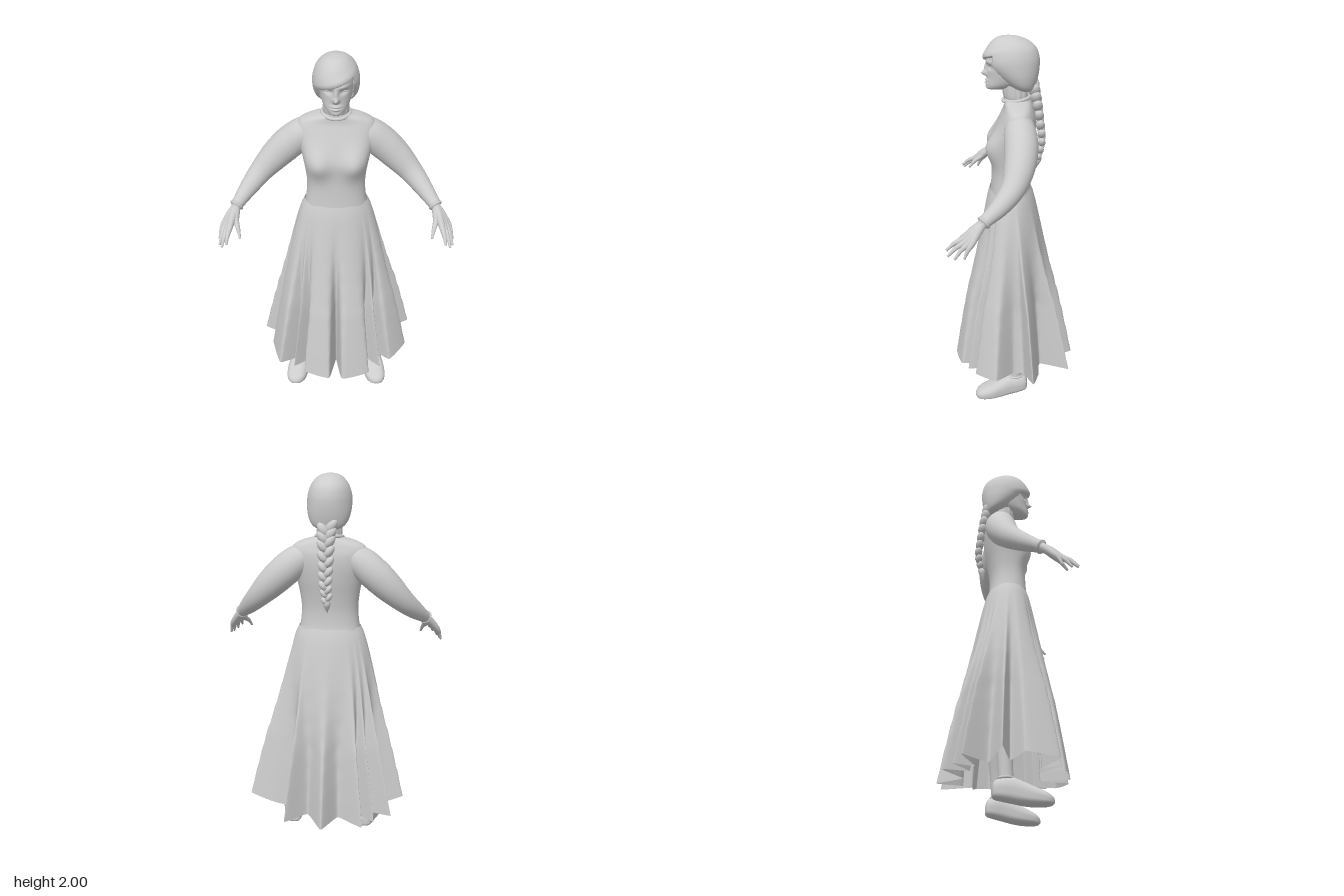
import * as THREE from 'three';

const V = (x, y, z) => new THREE.Vector3(x, y, z);
const TAU = Math.PI * 2;
const bump = (x, y, cx, cy, sx, sy) => Math.exp(-(((x - cx) / sx) ** 2) - ((y - cy) / sy) ** 2);
const spow = (v, e) => Math.sign(v) * Math.abs(v) ** e;

// Smooth surface through closed rings of points, optionally capped at both ends
function skin(rings, caps = true) {
  const n = rings[0].length, pos = [], idx = [];
  rings.forEach(r => r.forEach(p => pos.push(p.x, p.y, p.z)));
  for (let i = 0; i < rings.length - 1; i++) for (let j = 0; j < n; j++) {
    const k = (j + 1) % n, a = i * n + j, b = i * n + k, c = a + n, d = b + n;
    idx.push(a, c, b, b, c, d);
  }
  if (caps) [0, rings.length - 1].forEach(i => {
    const m = pos.length / 3, mid = V(0, 0, 0);
    rings[i].forEach(p => mid.addScaledVector(p, 1 / n));
    pos.push(mid.x, mid.y, mid.z);
    for (let j = 0; j < n; j++) {
      const a = i * n + j, b = i * n + (j + 1) % n;
      if (i) idx.push(a, m, b); else idx.push(a, b, m);
    }
  });
  const g = new THREE.BufferGeometry();
  g.setAttribute('position', new THREE.Float32BufferAttribute(pos, 3));
  g.setIndex(idx);
  g.computeVertexNormals();
  return g;
}

// Catmull-Rom value of column c in a table of rows
function sample(rows, t, c) {
  const f = t * (rows.length - 1), i = Math.min(Math.floor(f), rows.length - 2), u = f - i;
  const at = k => rows[Math.max(0, Math.min(rows.length - 1, k))][c];
  const [p, q, r, s] = [at(i - 1), at(i), at(i + 1), at(i + 2)];
  return q + 0.5 * u * (r - p + u * (2 * p - 5 * q + 4 * r - s + u * (3 * (q - r) + s - p)));
}

// Upright form from rows of [y, half width, front z, back z]; e below 1 squares the section
function upright(rows, steps, seg, e, deform) {
  const rings = [];
  for (let i = 0; i <= steps; i++) {
    const [y, rx, zf, zb] = [0, 1, 2, 3].map(c => sample(rows, i / steps, c));
    rings.push(Array.from({ length: seg }, (_, j) => {
      const a = j / seg * TAU;
      const p = V(spow(Math.cos(a), e) * rx, y, (zf + zb) / 2 + spow(Math.sin(a), e) * (zf - zb) / 2);
      deform(p);
      return p;
    }));
  }
  return skin(rings);
}

// Tapered limb through rows of [x, y, z, radius]; s mirrors it
function limb(rows, s = 1, steps = 24, seg = 20) {
  const curve = new THREE.CatmullRomCurve3(rows.map(r => V(r[0] * s, r[1], r[2])));
  const rings = [];
  let N = V(0, 0, 1);
  for (let i = 0; i <= steps; i++) {
    const t = i / steps, c = curve.getPoint(t), T = curve.getTangent(t), r = sample(rows, t, 3);
    N = N.clone().addScaledVector(T, -N.dot(T)).normalize();
    const B = T.clone().cross(N);
    rings.push(Array.from({ length: seg }, (_, j) => {
      const a = j / seg * TAU;
      return c.clone().addScaledVector(N, r * Math.cos(a)).addScaledVector(B, -r * Math.sin(a));
    }));
  }
  return skin(rings);
}

export function createModel() {
  const model = new THREE.Group();
  const grey = new THREE.MeshStandardMaterial({ color: 0xcccccc, side: THREE.DoubleSide });
  grey.name = 'light grey';
  const add = (name, geo, parent = model) => {
    const m = new THREE.Mesh(geo, grey);
    m.name = name;
    parent.add(m);
    return m;
  };
  const group = name => { const g = new THREE.Group(); g.name = name; model.add(g); return g; };

  // Fitted bodice
  add('bodice', upright([
    [1.17, 0.168, 0.125, -0.095], [1.22, 0.157, 0.12, -0.083], [1.3, 0.15, 0.115, -0.08],
    [1.38, 0.157, 0.11, -0.09], [1.46, 0.172, 0.106, -0.105], [1.54, 0.192, 0.088, -0.114],
    [1.6, 0.2, 0.066, -0.112], [1.64, 0.185, 0.05, -0.1], [1.665, 0.14, 0.046, -0.09],
    [1.68, 0.085, 0.046, -0.08], [1.69, 0.066, 0.045, -0.075]], 56, 80, 0.85, p => {
    if (p.z > 0) p.z += 0.046 * Math.min(1, p.z / 0.06)
      * (bump(p.x, p.y, 0.1, 1.445, 0.075, 0.08) + bump(p.x, p.y, -0.1, 1.445, 0.075, 0.08));
  }));

  // Flared skirt: a waist ellipse blended into a pleated hem, the folds softening upwards
  const hem = [[0.3, 0], [0.405, 0.09], [0.31, 0.205], [0.23, 0.13], [0.25, 0.25], [0.17, 0.17],
    [0.185, 0.29], [0.035, 0.33], [0, 0.18], [-0.04, 0.325], [-0.18, 0.28], [-0.13, 0.16],
    [-0.24, 0.25], [-0.2, 0.16], [-0.32, 0.235], [-0.36, 0.12], [-0.37, 0.06], [-0.28, 0],
    [-0.42, -0.05], [-0.27, -0.1], [-0.36, -0.23], [-0.23, -0.16], [-0.27, -0.265], [-0.17, -0.18],
    [-0.21, -0.315], [-0.07, -0.21], [0.01, -0.335], [0.1, -0.2], [0.215, -0.31], [0.17, -0.15],
    [0.3, -0.14], [0.435, -0.11], [0.3, -0.06]];
  const hemCurve = new THREE.CatmullRomCurve3(hem.map(h => V(h[0], 0, h[1])), true, 'catmullrom', 0.2);
  const hemPts = hemCurve.getPoints(hem.length * 10).slice(0, -1), count = hemPts.length;
  const soften = r => hemPts.map((_, j) => {
    const m = V(0, 0, 0);
    for (let k = -r; k <= r; k++) m.addScaledVector(hemPts[(j + k + count) % count], 1 / (2 * r + 1));
    return m;
  });
  const skirt = [];
  for (let i = 0; i <= 32; i++) {
    const t = 1 - i / 32, s = t ** 0.76, w = Math.min(1, 1.6 * t);
    skirt.push(soften(Math.round(8 * (1 - t))).map(h => {
      const a = Math.atan2(h.z, h.x), c = Math.cos(a), q = Math.sin(a);
      const low = 0.175 + 0.06 * (h.x / 0.42) ** 2 - 0.02 * Math.max(0, -h.z / 0.33);
      const x = THREE.MathUtils.lerp(0.38 * c, h.x, w), z = THREE.MathUtils.lerp(0.27 * q, h.z, w);
      return V(0.165 * c * (1 - s) + x * s, 1.205 + (low - 1.205) * t, (0.018 + 0.108 * q) * (1 - s) + z * s);
    }));
  }
  add('skirt', skin(skirt, false));

  // Gathered neck and collar
  add('neck', upright([[1.66, 0.05, 0.02, -0.06], [1.69, 0.064, 0.047, -0.075],
    [1.74, 0.064, 0.058, -0.074], [1.79, 0.06, 0.06, -0.07]], 14, 80, 1, p => {
    const a = Math.atan2(p.z, p.x);
    p.x *= 1 + 0.025 * Math.cos(a * 14);
    p.z *= 1 + 0.025 * Math.cos(a * 14);
  }));
  const collar = add('collar', new THREE.TorusGeometry(0.068, 0.009, 10, 48));
  collar.rotation.x = Math.PI / 2 + 0.15;
  collar.position.set(0, 1.685, -0.014);

  // Face with modelled nose, lips, brow and eye sockets
  add('face', upright([
    [1.732, 0.02, 0.125, 0.06], [1.74, 0.04, 0.139, 0.02], [1.76, 0.06, 0.138, -0.03],
    [1.79, 0.074, 0.132, -0.07], [1.83, 0.083, 0.131, -0.09], [1.87, 0.088, 0.134, -0.1],
    [1.91, 0.088, 0.126, -0.1], [1.95, 0.07, 0.09, -0.08], [1.97, 0.03, 0.05, -0.03]], 70, 96, 1, p => {
    if (p.z < 0.04) return;
    p.z += 0.026 * bump(p.x, p.y, 0, 1.812, 0.014, 0.013) + 0.015 * bump(p.x, p.y, 0, 1.838, 0.011, 0.026)
      + 0.009 * bump(p.x, p.y, 0, 1.779, 0.024, 0.006) + 0.009 * bump(p.x, p.y, 0, 1.766, 0.02, 0.006)
      - 0.004 * bump(p.x, p.y, 0, 1.772, 0.026, 0.003);
    for (const s of [-1, 1]) p.z += -0.014 * bump(p.x, p.y, s * 0.036, 1.85, 0.02, 0.012)
      + 0.006 * bump(p.x, p.y, s * 0.036, 1.875, 0.028, 0.008);
  }));
  for (const s of [1, -1]) {
    const eye = add(s > 0 ? 'leftEye' : 'rightEye', new THREE.SphereGeometry(0.013, 16, 12));
    eye.position.set(s * 0.036, 1.85, 0.099);
    eye.scale.set(1.1, 0.6, 1);
  }

  // Hair cap, cut away below a sideswept fringe
  add('hair', upright([
    [1.722, 0.025, -0.05, -0.09], [1.738, 0.07, -0.01, -0.105], [1.765, 0.096, 0.035, -0.115],
    [1.81, 0.111, 0.09, -0.125], [1.86, 0.115, 0.138, -0.13], [1.9, 0.111, 0.148, -0.127],
    [1.94, 0.097, 0.132, -0.112], [1.97, 0.075, 0.108, -0.08], [1.99, 0.046, 0.08, -0.035],
    [2, 0.003, 0.03, 0.02]], 76, 128, 1, p => {
    const fringe = 1.88 + 0.38 * p.x;
    if (p.z > 0.02 && Math.abs(p.x) < 0.08 && p.y < fringe) p.z = 0.02;
    else if (p.z > 0.02) p.z += 0.006 * bump(p.y, 0, fringe + 0.02, 0, 0.02, 1);
  }));

  // Plaited braid with a tied tip
  const braid = group('braid');
  const path = new THREE.CatmullRomCurve3([V(0, 1.75, -0.1), V(0.005, 1.67, -0.118),
    V(0.005, 1.56, -0.135), V(0.005, 1.46, -0.146), V(0, 1.37, -0.13)]);
  for (let i = 0; i < 18; i++) {
    const t = i / 17, s = i % 2 ? 1 : -1, k = 1 - 0.45 * t;
    const lock = add('braidLock', new THREE.SphereGeometry(1, 16, 12), braid);
    lock.position.copy(path.getPoint(t)).add(V(s * 0.02 * k, 0, 0));
    lock.scale.set(0.026 * k, 0.043 * k, 0.03 * k);
    lock.rotation.z = -s * 0.65;
  }
  add('braidTip', limb([[0, 1.38, -0.131, 0.012], [0, 1.355, -0.126, 0.019],
    [0, 1.33, -0.121, 0.012], [0, 1.305, -0.117, 0.002]], 1, 12, 12), braid);

  for (const s of [1, -1]) {
    const side = s > 0 ? 'left' : 'right';
    // Sleeve and cuff
    add(side + 'Sleeve', limb([[0.07, 1.59, -0.03, 0.055], [0.15, 1.567, -0.032, 0.078], [0.23, 1.506, -0.04, 0.084],
      [0.31, 1.43, -0.032, 0.077], [0.385, 1.354, -0.003, 0.061], [0.45, 1.288, 0.057, 0.047],
      [0.512, 1.226, 0.14, 0.031]], s, 36, 28));
    const cuff = add(side + 'Cuff', new THREE.TorusGeometry(0.03, 0.007, 10, 28));
    cuff.position.set(s * 0.508, 1.23, 0.135);
    cuff.lookAt(s * 0.57, 1.164, 0.218);
    // Hand: fingers run from the wrist so their roots merge into the palm
    const hand = group(side + 'Hand');
    [['index', 0.538, 1.157, 0.235, 0.552, 1.105, 0.312], ['middle', 0.552, 1.15, 0.222, 0.576, 1.085, 0.305],
      ['ring', 0.566, 1.147, 0.207, 0.592, 1.076, 0.272], ['little', 0.576, 1.148, 0.19, 0.597, 1.082, 0.225],
      ['thumb', 0.508, 1.175, 0.2, 0.485, 1.115, 0.27]].forEach(([n, x, y, z, X, Y, Z]) =>
      add(n + 'Finger', limb([[0.512, 1.226, 0.14, 0.022], [(0.512 + x) / 2, (1.226 + y) / 2 + 0.004, (0.14 + z) / 2, 0.02],
        [x, y, z, 0.015], [(x + X) / 2, (y + Y) / 2 + 0.008, (z + Z) / 2, 0.011], [X, Y, Z, 0.006]], s, 16, 12), hand));

    // Leg
    add(side + 'Leg', limb([[0.09, 1.08, 0.01, 0.085], [0.11, 0.85, 0.01, 0.082], [0.15, 0.6, 0.005, 0.06],
      [0.185, 0.4, -0.015, 0.056], [0.205, 0.22, -0.015, 0.038], [0.21, 0.1, -0.01, 0.036]], s, 30, 24));
    // Shoe sections: [z, half width, base y, top y]
    const rows = [[-0.078, 0.022, 0.05, 0.085], [-0.068, 0.04, 0.036, 0.118], [-0.03, 0.05, 0.026, 0.135],
      [0.02, 0.052, 0.015, 0.135], [0.07, 0.057, 0.005, 0.114], [0.12, 0.061, 0, 0.09],
      [0.17, 0.055, 0, 0.067], [0.2, 0.036, 0.004, 0.048], [0.212, 0.012, 0.013, 0.03]];
    const rings = [];
    for (let i = 0; i <= 32; i++) {
      const [z, w, lo, hi] = [0, 1, 2, 3].map(c => sample(rows, i / 32, c));
      rings.push(Array.from({ length: 32 }, (_, j) => {
        const a = j / 32 * TAU, q = Math.sin(a), v = q > 0 ? q ** 0.5 : q;
        return V(s * (0.212 + 0.13 * z) + w * spow(Math.cos(a), 0.75), (lo + hi) / 2 - v * (hi - lo) / 2, z);
      }));
    }
    add(side + 'Shoe', skin(rings));
    const ankle = add(side + 'ShoeCollar', new THREE.TorusGeometry(0.037, 0.006, 10, 28));
    ankle.rotation.x = Math.PI / 2;
    ankle.position.set(s * 0.21, 0.132, -0.012);
  }
  return model;
}
